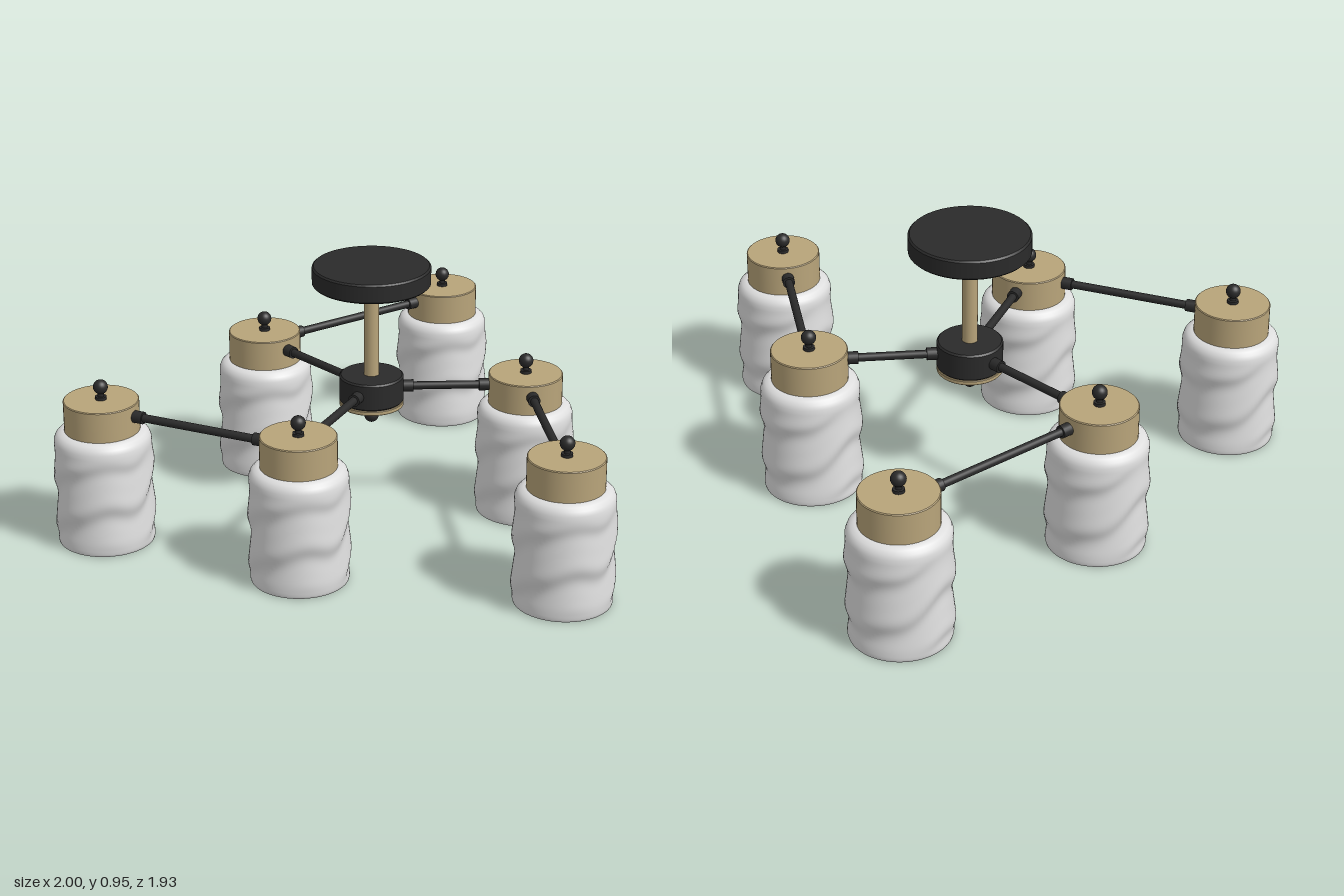
import * as THREE from 'three';
import { mergeVertices } from 'three/addons/utils/BufferGeometryUtils.js';

const brass = new THREE.MeshStandardMaterial({ color: 0xb8a47a });
brass.name = 'brass';
const black = new THREE.MeshStandardMaterial({ color: 0x2a2a2a });
black.name = 'black metal';
const glass = new THREE.MeshStandardMaterial({ color: 0xdedede, side: THREE.DoubleSide });
glass.name = 'white glass';
const bulbMat = new THREE.MeshStandardMaterial({ color: 0xd4d4d4 });
bulbMat.name = 'bulb white';

const ARM_Y = 0.49, CAP_R = 0.133, HUB_R = 0.115;
const HUB = new THREE.Vector3(0.09, ARM_Y, -0.155);
// Each branch: inner lamp x, z then outer lamp x, z
const BRANCHES = [
  [-0.01, -0.745, 0.82, -0.79],
  [0.57, 0.12, 0.26, 0.785],
  [-0.405, 0.165, -0.825, -0.475],
];

function add(parent, name, geometry, material, x = 0, y = 0, z = 0) {
  const mesh = new THREE.Mesh(geometry, material);
  mesh.name = name;
  mesh.position.set(x, y, z);
  parent.add(mesh);
  return mesh;
}

// Disc with a small chamfer on both rims and crisp edges, standing on y = 0
function disc(radius, height, bevel) {
  const r = radius, h = height, b = bevel;
  const rings = [[0, 0], [r - b, 0], [r - b, 0], [r, b], [r, b], [r, h - b], [r, h - b], [r - b, h], [r - b, h], [0, h]];
  return new THREE.LatheGeometry(rings.map(([x, y]) => new THREE.Vector2(x, y)), 48);
}

// Open glass jar whose wall ripples in diagonal ridges
function shadeGeometry() {
  const pts = [[0.12, 0.408], [0.146, 0.396], [0.16, 0.375]];
  for (let i = 0; i <= 28; i++) pts.push([0.16, 0.36 - (i / 28) * 0.35]);
  pts.push([0.162, 0.002], [0.166, 0], [0.17, 0.002]);
  for (let i = 0; i <= 36; i++) pts.push([0.172, 0.01 + (i / 36) * 0.36]);
  pts.push([0.171, 0.388], [0.165, 0.404], [0.154, 0.415], [0.14, 0.421], [0.125, 0.423]);
  let g = new THREE.LatheGeometry(pts.map(([x, y]) => new THREE.Vector2(x, y)), 72);
  g.deleteAttribute('uv');
  g.deleteAttribute('normal');
  g = mergeVertices(g, 1e-5);
  const p = g.attributes.position;
  for (let i = 0; i < p.count; i++) {
    const x = p.getX(i), y = p.getY(i), z = p.getZ(i);
    const a = Math.atan2(x, z);
    const fade = THREE.MathUtils.smoothstep(y, 0.0, 0.07) * (1 - THREE.MathUtils.smoothstep(y, 0.3, 0.39));
    const phase = (y / 0.18) * Math.PI * 2 - 2 * a + 0.8 * Math.sin(3 * a + 1) + 0.4 * Math.sin(5 * a);
    const wave = Math.sin(phase + 0.5 * Math.sin(phase));
    const k = 1 + 0.035 * fade * wave;
    p.setXYZ(i, x * k, y, z * k);
  }
  g.computeVertexNormals();
  return g;
}

const shade = shadeGeometry();
const cap = disc(CAP_R, 0.115, 0.003);
const ball = new THREE.SphereGeometry(0.026, 24, 16);
const neck = new THREE.CylinderGeometry(0.011, 0.011, 0.04, 16);
const collar = new THREE.CylinderGeometry(0.02, 0.02, 0.012, 20);
const bulb = new THREE.SphereGeometry(0.088, 32, 20);
const socket = new THREE.CylinderGeometry(0.045, 0.045, 0.24, 24);

function makeLamp(x, z) {
  const lamp = new THREE.Group();
  lamp.name = 'lamp';
  lamp.position.set(x, 0, z);
  add(lamp, 'glassShade', shade, glass);
  add(lamp, 'cap', cap, brass, 0, 0.418, 0);
  add(lamp, 'finialCollar', collar, black, 0, 0.538, 0);
  add(lamp, 'finialNeck', neck, black, 0, 0.552, 0);
  add(lamp, 'finialBall', ball, black, 0, 0.579, 0);
  add(lamp, 'bulb', bulb, bulbMat, 0, 0.112, 0);
  add(lamp, 'bulbSocket', socket, bulbMat, 0, 0.3, 0);
  return lamp;
}

// Horizontal rod between two round bodies, with a thicker sleeve at each end
function makeArm(from, to, fromRadius, toRadius) {
  const arm = new THREE.Group();
  arm.name = 'arm';
  const dir = to.clone().sub(from);
  const length = dir.length();
  dir.normalize();
  arm.position.copy(from);
  arm.quaternion.setFromUnitVectors(new THREE.Vector3(0, 1, 0), dir);
  const a = fromRadius - 0.01, b = length - toRadius + 0.01;
  add(arm, 'rod', new THREE.CylinderGeometry(0.0145, 0.0145, b - a, 20), black, 0, (a + b) / 2, 0);
  const sleeve = new THREE.CylinderGeometry(0.022, 0.022, 0.045, 20);
  add(arm, 'sleeve', sleeve, black, 0, a + 0.0225, 0);
  add(arm, 'sleeve', sleeve, black, 0, b - 0.0225, 0);
  return arm;
}

export function createModel() {
  const model = new THREE.Group();
  model.name = 'chandelier';

  // Ceiling mount, stem and central hub
  const centre = new THREE.Group();
  centre.name = 'centre';
  centre.position.set(HUB.x, 0, HUB.z);
  model.add(centre);
  add(centre, 'ceilingPlate', disc(0.21, 0.07, 0.006), black, 0, 0.88, 0);
  add(centre, 'stem', new THREE.CylinderGeometry(0.027, 0.027, 0.36, 24), brass, 0, 0.71, 0);
  add(centre, 'hub', disc(HUB_R, 0.1, 0.006), black, 0, 0.438, 0);
  add(centre, 'hubBase', disc(HUB_R, 0.016, 0.002), brass, 0, 0.422, 0);
  add(centre, 'finialCollar', collar, black, 0, 0.416, 0);
  add(centre, 'finialNeck', neck, black, 0, 0.403, 0);
  add(centre, 'finialBall', ball, black, 0, 0.379, 0);

  // Three branches of two lamps each
  for (const [ix, iz, ox, oz] of BRANCHES) {
    const inner = new THREE.Vector3(ix, ARM_Y, iz);
    const outer = new THREE.Vector3(ox, ARM_Y, oz);
    model.add(makeLamp(ix, iz), makeLamp(ox, oz));
    model.add(makeArm(HUB, inner, HUB_R, CAP_R), makeArm(inner, outer, CAP_R, CAP_R));
  }
  return model;
}
